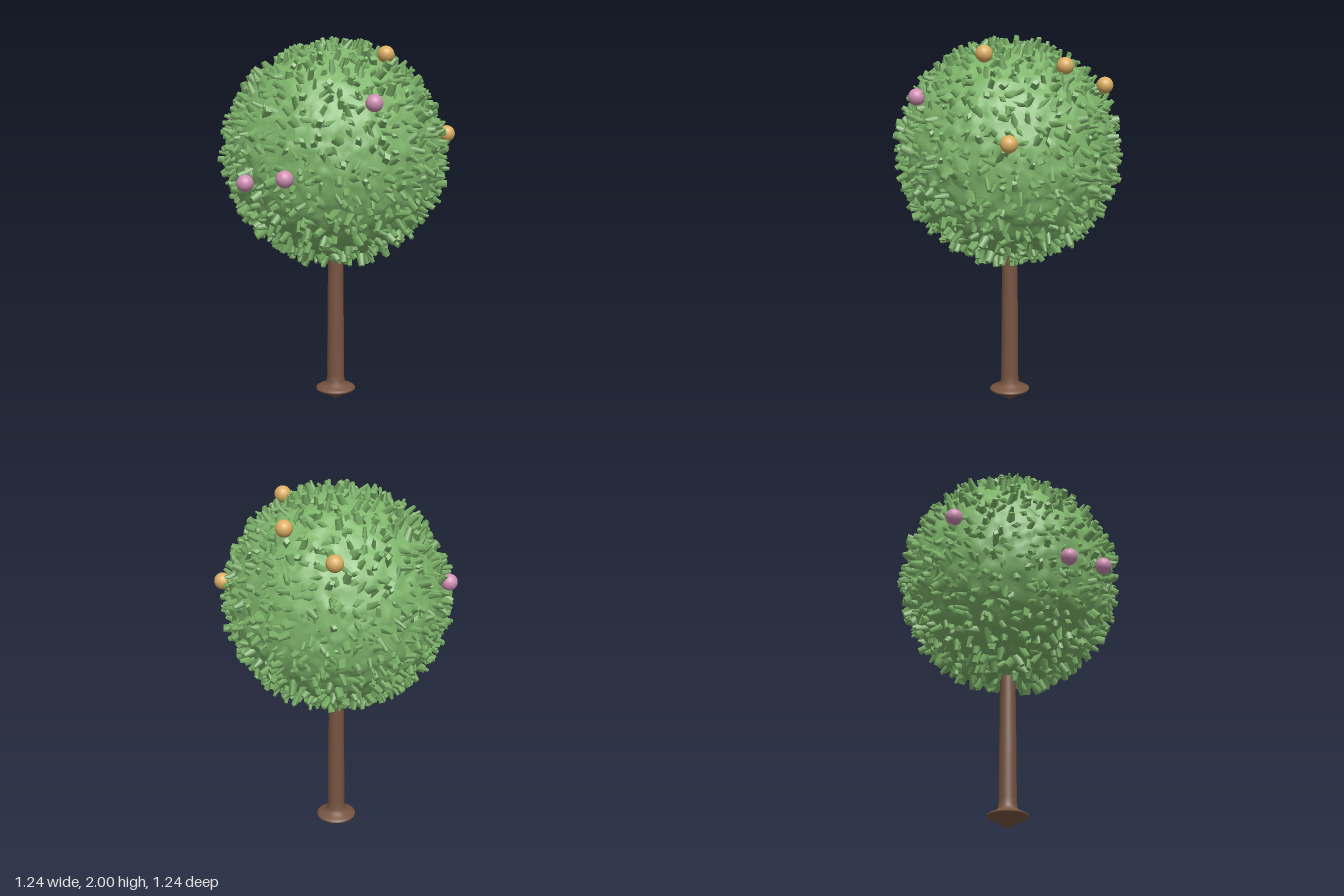
import * as THREE from 'three';
import { mergeGeometries, mergeVertices } from 'three/addons/utils/BufferGeometryUtils.js';

const CROWN_Y = 1.385;

function makeRandom(seed) {
  return () => {
    seed = (seed * 1664525 + 1013904223) % 4294967296;
    return seed / 4294967296;
  };
}

function material(name, color) {
  const m = new THREE.MeshStandardMaterial({ color });
  m.name = name;
  return m;
}

// Round, slightly crumpled ball of foliage
function crownGeometry(rand) {
  let geo = new THREE.IcosahedronGeometry(0.56, 20);
  geo.deleteAttribute('normal');
  geo.deleteAttribute('uv');
  geo = mergeVertices(geo, 1e-4);
  const pos = geo.attributes.position;
  const v = new THREE.Vector3();
  const jitter = new THREE.Vector3();
  for (let i = 0; i < pos.count; i++) {
    v.fromBufferAttribute(pos, i);
    jitter.set(rand() - 0.5, rand() - 0.5, rand() - 0.5).multiplyScalar(0.016);
    v.multiplyScalar(1 + (rand() - 0.5) * 0.03).add(jitter);
    pos.setXYZ(i, v.x, v.y, v.z);
  }
  geo.computeVertexNormals();
  return geo;
}

// Small angular leaves spread evenly over the ball, each tilted at random
function leavesGeometry(rand, count) {
  const up = new THREE.Vector3(0, 1, 0);
  const out = new THREE.Vector3();
  const dir = new THREE.Vector3();
  const quat = new THREE.Quaternion();
  const twist = new THREE.Quaternion();
  const matrix = new THREE.Matrix4();
  const golden = Math.PI * (3 - Math.sqrt(5));
  const leaves = [];
  for (let i = 0; i < count; i++) {
    const y = 1 - (2 * (i + 0.5)) / count;
    const ring = Math.sqrt(1 - y * y);
    const a = i * golden + (rand() - 0.5) * 0.1;
    out.set(ring * Math.cos(a), y, ring * Math.sin(a));
    out.x += (rand() - 0.5) * 0.06;
    out.y += (rand() - 0.5) * 0.06;
    out.z += (rand() - 0.5) * 0.06;
    out.normalize();
    dir.set(rand() - 0.5, rand() - 0.5, rand() - 0.5).multiplyScalar(1.5).add(out).normalize();
    quat.setFromUnitVectors(up, dir);
    quat.multiply(twist.setFromAxisAngle(up, rand() * Math.PI));

    const length = 0.05 + rand() * 0.038;
    const leaf = new THREE.CylinderGeometry(0.008 + rand() * 0.014, 0.027, length, 4);
    leaf.translate(0, length / 2, 0);
    out.multiplyScalar(0.54);
    matrix.compose(out, quat, new THREE.Vector3(1, 1, 0.5 + rand() * 0.4));
    leaf.applyMatrix4(matrix);
    leaves.push(leaf);
  }
  return mergeGeometries(leaves);
}

export function createModel() {
  const group = new THREE.Group();
  group.name = 'fruitTree';
  const rand = makeRandom(7);

  const green = material('leafGreen', 0x7fb56b);
  const brown = material('barkBrown', 0x775441);
  const orange = material('fruitOrange', 0xdcae62);
  const pink = material('fruitPink', 0xd08fb3);

  const add = (name, geometry, mat, x, y, z) => {
    const mesh = new THREE.Mesh(geometry, mat);
    mesh.name = name;
    mesh.position.set(x, y, z);
    group.add(mesh);
    return mesh;
  };

  // Trunk with a flared, pointed foot
  const profile = [
    [0, 0], [0.02, 0.012], [0.05, 0.033], [0.09, 0.05], [0.108, 0.062], [0.108, 0.07],
    [0.09, 0.08], [0.06, 0.092], [0.05, 0.11], [0.047, 0.15], [0.046, 0.4], [0.04, 0.95],
  ].map(([r, y]) => new THREE.Vector2(r, y));
  add('trunk', new THREE.LatheGeometry(profile, 32), brown, 0.01, 0, 0);

  // Crown
  add('crown', crownGeometry(rand), green, 0, CROWN_Y, 0);
  add('leaves', leavesGeometry(rand, 1150), green, 0, CROWN_Y, 0);

  // Fruit resting on the crown
  const fruit = new THREE.SphereGeometry(0.044, 24, 16);
  const fruits = [
    [orange, 0.06, 1.91, 0.29], [orange, 0.395, 1.85, 0.06],
    [orange, 0.35, 1.49, 0.48], [orange, 0.44, 1.74, -0.255],
    [pink, -0.25, 1.69, 0.45], [pink, -0.19, 1.51, -0.555],
    [pink, -0.58, 1.28, -0.11], [pink, -0.575, 1.325, 0.15],
  ];
  for (const [mat, x, y, z] of fruits) {
    add(mat === orange ? 'orangeFruit' : 'pinkFruit', fruit, mat, x, y, z);
  }

  return group;
}
